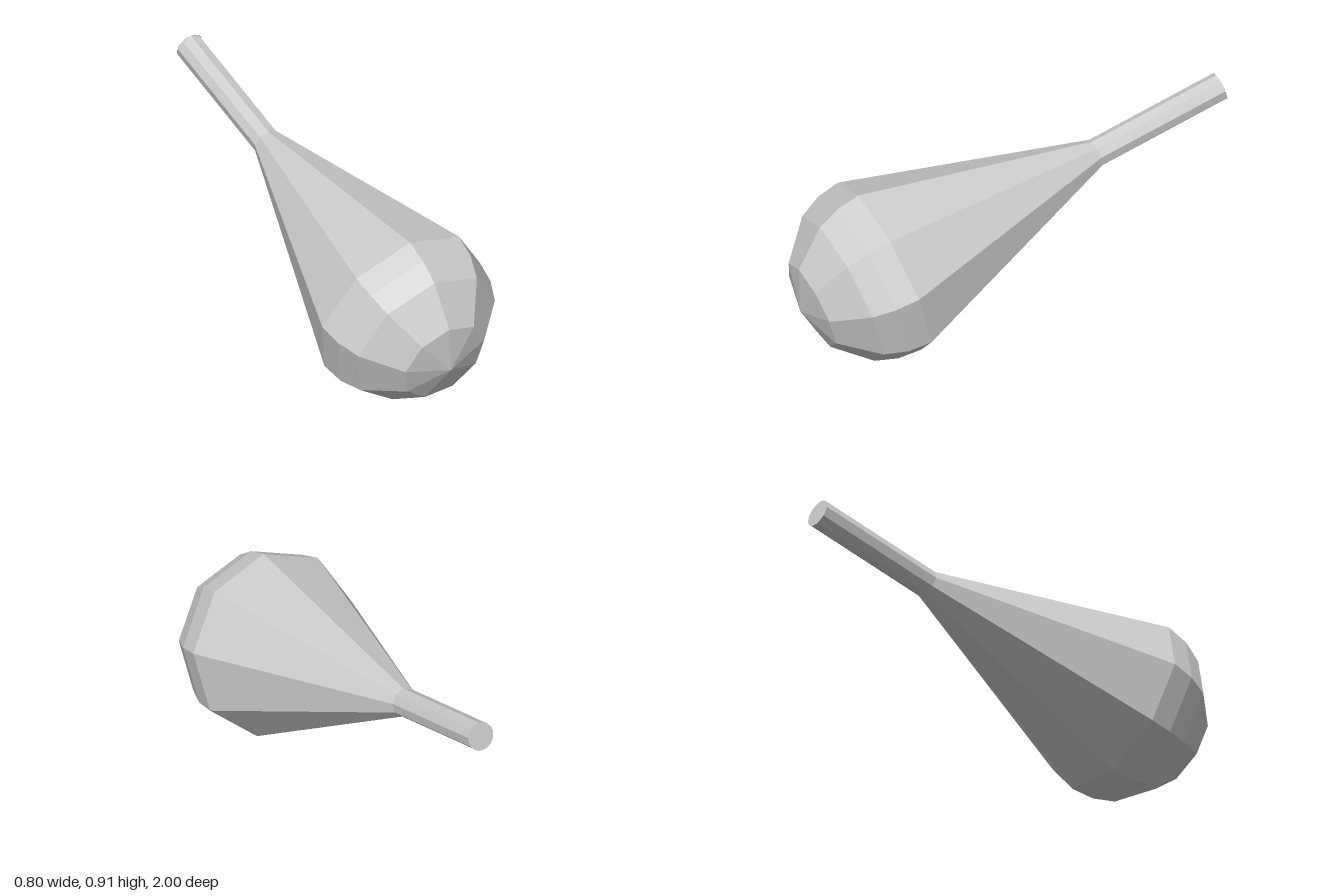
import * as THREE from 'three';

const SIDES = 9;
const HEAD_R = 0.41;      // radius of the round head
const GRIP_R = 0.063;     // radius of the handle
const NECK = 1.463;       // distance from the nose to the neck
const LENGTH = 2.075;     // distance from the nose to the handle end

export function createModel() {
  const material = new THREE.MeshStandardMaterial({
    color: 0xcccccc, flatShading: true, side: THREE.DoubleSide,
  });
  const group = new THREE.Group();
  const add = (name, geometry) => {
    const mesh = new THREE.Mesh(geometry, material);
    mesh.name = name;
    group.add(mesh);
    return mesh;
  };

  // Rounded head: rings of a hemisphere, then a straight taper to the neck
  const profile = [0, 30, 60, 75, 90].map((deg) => {
    const a = THREE.MathUtils.degToRad(deg);
    return new THREE.Vector2(HEAD_R * Math.sin(a), HEAD_R * (1 - Math.cos(a)));
  });
  profile.push(new THREE.Vector2(GRIP_R, NECK));
  add('head', new THREE.LatheGeometry(profile, SIDES));

  // Straight handle
  const grip = new THREE.CylinderGeometry(GRIP_R, GRIP_R, LENGTH - NECK, SIDES, 1, true);
  add('handle', grip).position.y = (LENGTH + NECK) / 2;

  // Round disc closing the handle
  const disc = new THREE.CircleGeometry(GRIP_R, 24).rotateX(-Math.PI / 2);
  add('handleCap', disc).position.y = LENGTH;

  // Lay the long axis backward, tilted up and to one side
  const axis = new THREE.Vector3(-0.159, 0.272, -0.949).normalize();
  const up = new THREE.Vector3(0, -axis.z, axis.y).normalize();
  const side = new THREE.Vector3().crossVectors(axis, up);
  group.quaternion.setFromRotationMatrix(new THREE.Matrix4().makeBasis(side, axis, up));
  group.position.set(0.059, 0.285, 0.988);

  const model = new THREE.Group();
  model.name = 'shaker';
  model.add(group);
  group.name = 'shakerBody';
  return model;
}
